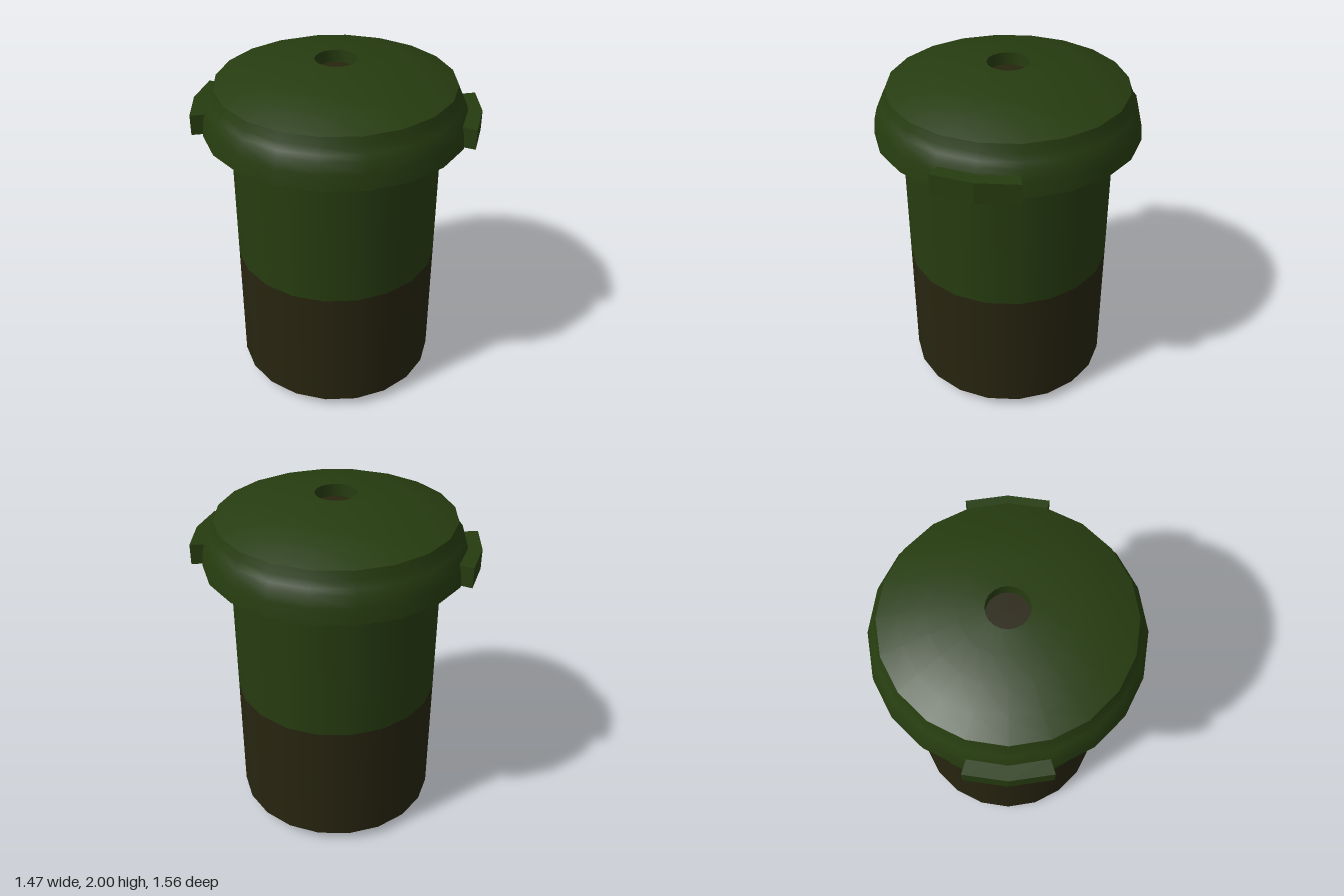
import * as THREE from 'three';

const SIDES = 20;
const deg = THREE.MathUtils.degToRad;
const PHASE = deg(11.8); // turn of the polygonal rings around the axis

export function createModel() {
  const model = new THREE.Group();
  model.name = 'canister';

  const green = new THREE.MeshStandardMaterial({ color: 0x263c10 });
  green.name = 'olive green';
  const brown = new THREE.MeshStandardMaterial({ color: 0x27240f });
  brown.name = 'dark brown';

  const add = (name, geometry, material, parent = model) => {
    const mesh = new THREE.Mesh(geometry, material);
    mesh.name = name;
    parent.add(mesh);
    return mesh;
  };

  // One smooth band of revolution; separate bands keep a crease between them
  const band = (name, profile, material, parent) =>
    add(name, new THREE.LatheGeometry(profile.map(([r, y]) => new THREE.Vector2(r, y)), SIDES, PHASE),
      material, parent);

  // Faceted arc block between two radii, angles measured from +x towards +z
  const arcBlock = (inner, outer, angles, y0, y1) => {
    const at = (r, a) => new THREE.Vector2(r * Math.cos(deg(a)), -r * Math.sin(deg(a)));
    const shape = new THREE.Shape([
      ...angles.map((a) => at(outer, a)),
      ...[...angles].reverse().map((a) => at(inner, a)),
    ]);
    const geometry = new THREE.ExtrudeGeometry(shape, { depth: y1 - y0, bevelEnabled: false });
    return geometry.rotateX(-Math.PI / 2).translate(0, y0, 0);
  };

  // Body: two-tone cylinder with a chamfered foot
  const body = new THREE.Group();
  body.name = 'body';
  model.add(body);
  band('bottom', [[0, 0], [0.515, 0]], brown, body);
  band('footChamfer', [[0.515, 0], [0.588, 0.06]], brown, body);
  band('lowerBody', [[0.588, 0.06], [0.588, 0.815]], brown, body);
  band('upperBody', [[0.588, 0.815], [0.588, 1.83]], green, body);

  // Lid: hollow cap with a flared skirt and a shallow dome
  const lid = new THREE.Group();
  lid.name = 'lid';
  model.add(lid);
  band('ceiling', [[0.58, 1.82], [0.635, 1.82]], green, lid);
  band('innerSkirt', [[0.635, 1.82], [0.68, 1.75], [0.7, 1.615]], green, lid);
  band('rim', [[0.7, 1.615], [0.738, 1.615]], green, lid);
  band('skirt', [[0.738, 1.615], [0.729, 1.7], [0.712, 1.765], [0.692, 1.79], [0.676, 1.83], [0.662, 1.875]], green, lid);
  band('dome', [[0.662, 1.875], [0.54, 1.924], [0.4, 1.963], [0.25, 1.988], [0.115, 2]], green, lid);

  // Recess in the middle of the dome
  band('recessWall', [[0.115, 2], [0.115, 1.93]], green, lid);
  band('recessFloor', [[0.115, 1.93], [0, 1.93]], brown, lid);

  // Outer grips and inner lugs, each pair on opposite sides
  for (const turn of [0, 180]) {
    const shift = (list) => list.map((a) => a + turn);
    add('grip', arcBlock(0.71, 0.798, shift([43.5, 60.2, 77]), 1.617, 1.733), green, lid);
    add('lug', arcBlock(0.635, 0.7, shift([-15.4, 0, 15.4]), 1.587, 1.66), green, lid);
  }

  return model;
}
